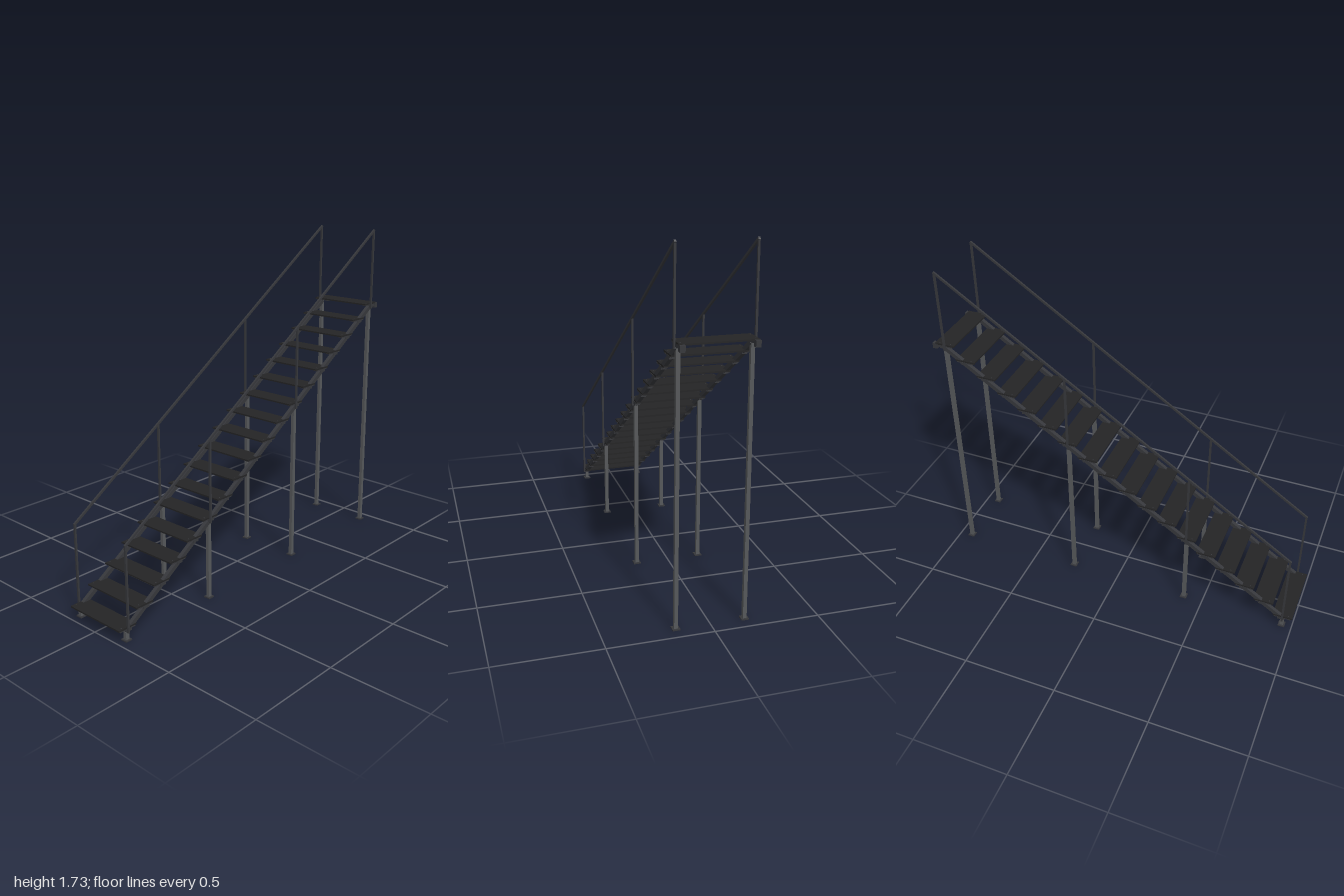
import * as THREE from 'three';

const mat = (name, color) => {
  const m = new THREE.MeshStandardMaterial({ color });
  m.name = name;
  return m;
};

export function createModel() {
  const model = new THREE.Group();
  model.name = 'staircase';
  const treadMat = mat('dark tread', 0x242425);
  const frameMat = mat('charcoal steel', 0x36373b);
  const postMat = mat('grey steel', 0x56585a);

  const add = (name, geo, material, x, y, z) => {
    const m = new THREE.Mesh(geo, material);
    m.name = name;
    m.position.set(x, y, z);
    model.add(m);
    return m;
  };
  const box = (name, material, w, h, d, x, y, z) =>
    add(name, new THREE.BoxGeometry(w, h, d), material, x, y, z);
  // square bar running between two points in the yz plane
  const bar = (name, material, x, w, h, [z0, y0], [z1, y1]) => {
    const m = box(name, material, w, h, Math.hypot(z1 - z0, y1 - y0), x, (y0 + y1) / 2, (z0 + z1) / 2);
    m.rotation.x = Math.atan2(y1 - y0, z0 - z1);
    return m;
  };

  const steps = 18, firstZ = 0.946, firstY = 0.072;
  const run = 0.1105, rise = 0.0736;
  const boltGeo = new THREE.CylinderGeometry(0.003, 0.003, 0.003, 6);

  // treads, each on a pair of bolted brackets
  for (let i = 0; i < steps; i++) {
    const y = firstY + i * rise, z = firstZ - i * run;
    box('tread', treadMat, 0.35, 0.008, 0.106, 0, y - 0.004, z);
    for (const s of [-1, 1]) {
      box('treadBracket', frameMat, 0.024, 0.005, 0.09, s * 0.164, y - 0.0105, z);
      box('bracketLug', frameMat, 0.024, 0.012, 0.035, s * 0.164, y - 0.018, z - 0.008);
      for (const dz of [-0.03, 0.03]) add('bolt', boltGeo, frameMat, s * 0.164, y + 0.001, z + dz);
    }
  }

  const postZ = [0.946, 0.395, -0.265, -0.93];
  const slopeY = (z) => 0.05 + (firstZ - z) * rise / run;

  for (const s of [-1, 1]) {
    // sloping stringer and its top landing hook
    bar('stringer', frameMat, s * 0.164, 0.02, 0.022, [0.95, 0.05], [-0.932, 1.3]);
    box('landingArm', frameMat, 0.022, 0.012, 0.07, s * 0.164, 1.308, -0.962);
    box('landingHook', frameMat, 0.024, 0.03, 0.024, s * 0.164, 1.305, -0.988);

    postZ.forEach((z) => {
      // support leg with foot plate
      const top = slopeY(z) - 0.004;
      box('supportLeg', postMat, 0.018, top, 0.02, s * 0.164, top / 2, z);
      box('footPlate', frameMat, 0.036, 0.006, 0.036, s * 0.164, 0.003, z);
      // handrail post
      const railY = 0.48 + (0.946 - z) * (1.25 / 1.876);
      const foot = slopeY(z) - 0.008;
      box('railPost', frameMat, 0.01, railY - foot, 0.01, s * 0.179, (railY + foot) / 2, z);
    });
    // handrail
    bar('handrail', frameMat, s * 0.179, 0.01, 0.011, [0.95, 0.476], [-0.934, 1.73]);
  }
  return model;
}
